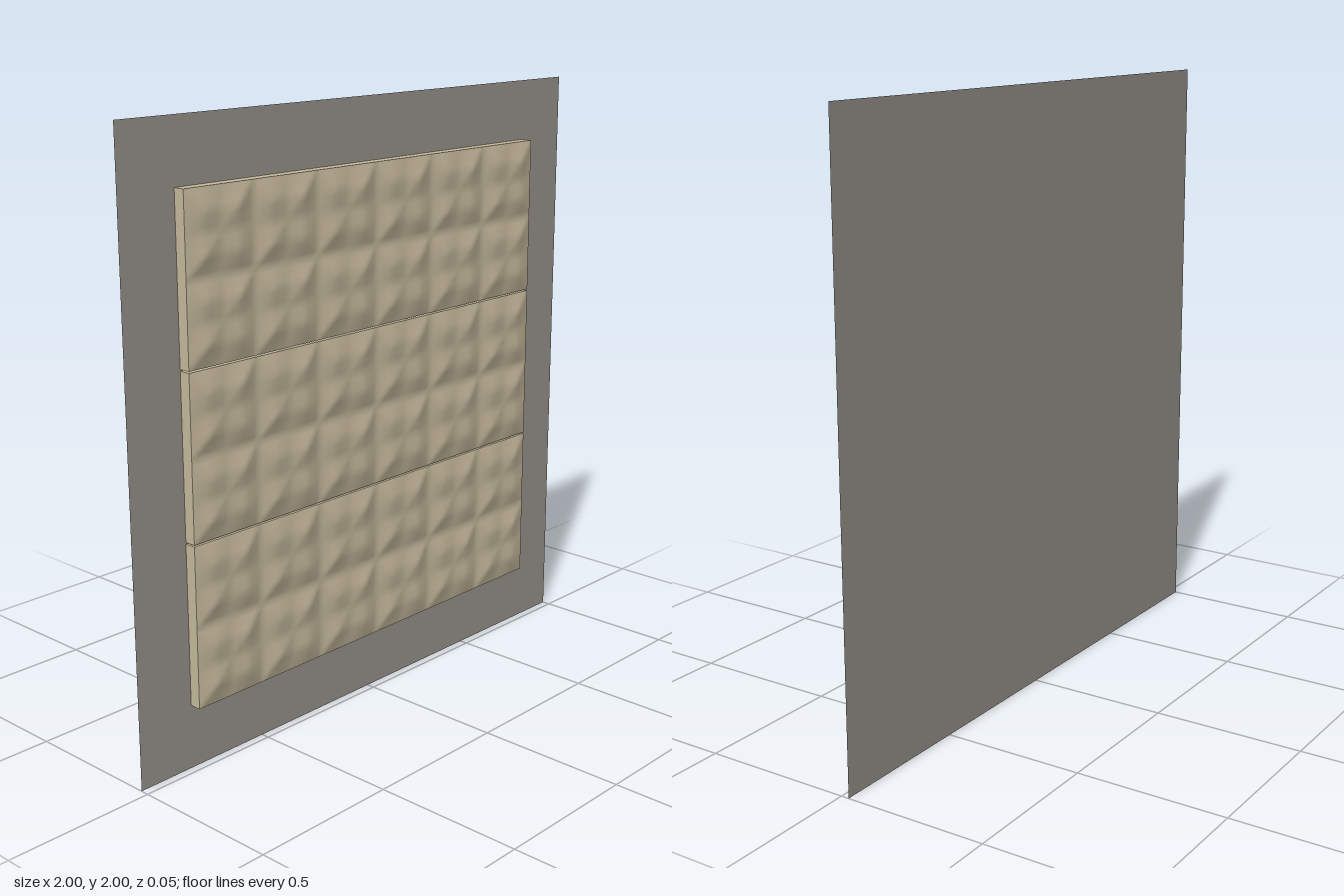
import * as THREE from 'three';

const WIDTH = 1.59, HEIGHT = 0.526, PITCH = 0.531; // one wall panel and its spacing
const COLS = 6, ROWS = 2, STEPS = 16;              // star cells per panel, grid steps per cell
const BACK = -0.027, FACE = 0.012, RELIEF = 0.015;

// Height of the star relief at a cell position (u, v), each from -1 to 1
function starHeight(u, v) {
  const a = Math.min(Math.abs(u), Math.abs(v));
  const b = Math.max(Math.abs(u), Math.abs(v));
  const rim = Math.min(1, 2 * (1 - b));       // falls to the cell border
  const fold = 0.5 + 0.5 * Math.min(1, 2 * a); // ridges along the diagonals
  return RELIEF * rim * fold;
}

// Sheet of repeated star cells
function reliefGeometry() {
  const geo = new THREE.PlaneGeometry(WIDTH, HEIGHT, COLS * STEPS, ROWS * STEPS);
  const pos = geo.attributes.position;
  const nx = COLS * STEPS + 1;
  const local = (i) => ((i % STEPS) / STEPS) * 2 - 1;
  for (let i = 0; i < pos.count; i++) {
    pos.setZ(i, starHeight(local(i % nx), local(Math.floor(i / nx))));
  }
  geo.computeVertexNormals();
  return geo;
}

export function createModel() {
  const model = new THREE.Group();
  model.name = 'panelledWall';

  const wallGrey = new THREE.MeshStandardMaterial({ color: 0x9a958e, side: THREE.DoubleSide });
  wallGrey.name = 'wallGrey';
  const panelBeige = new THREE.MeshStandardMaterial({ color: 0xc8bb9e });
  panelBeige.name = 'panelBeige';

  // Flat backing wall
  const wall = new THREE.Mesh(new THREE.PlaneGeometry(2, 2), wallGrey);
  wall.name = 'wall';
  wall.position.set(0, 1, BACK);
  model.add(wall);

  // Three stacked panels, each a slab with a relief face
  const depth = FACE - BACK - 0.001;
  const slabGeo = new THREE.BoxGeometry(WIDTH, HEIGHT, depth);
  const reliefGeo = reliefGeometry();
  for (let i = 0; i < 3; i++) {
    const panel = new THREE.Group();
    panel.name = 'panel' + (i + 1);
    panel.position.y = 1.003 + (i - 1) * PITCH;

    const slab = new THREE.Mesh(slabGeo, panelBeige);
    slab.name = 'slab';
    slab.position.z = FACE - depth / 2 - 0.0004;

    const relief = new THREE.Mesh(reliefGeo, panelBeige);
    relief.name = 'starRelief';
    relief.position.z = FACE;

    panel.add(slab, relief);
    model.add(panel);
  }
  return model;
}
